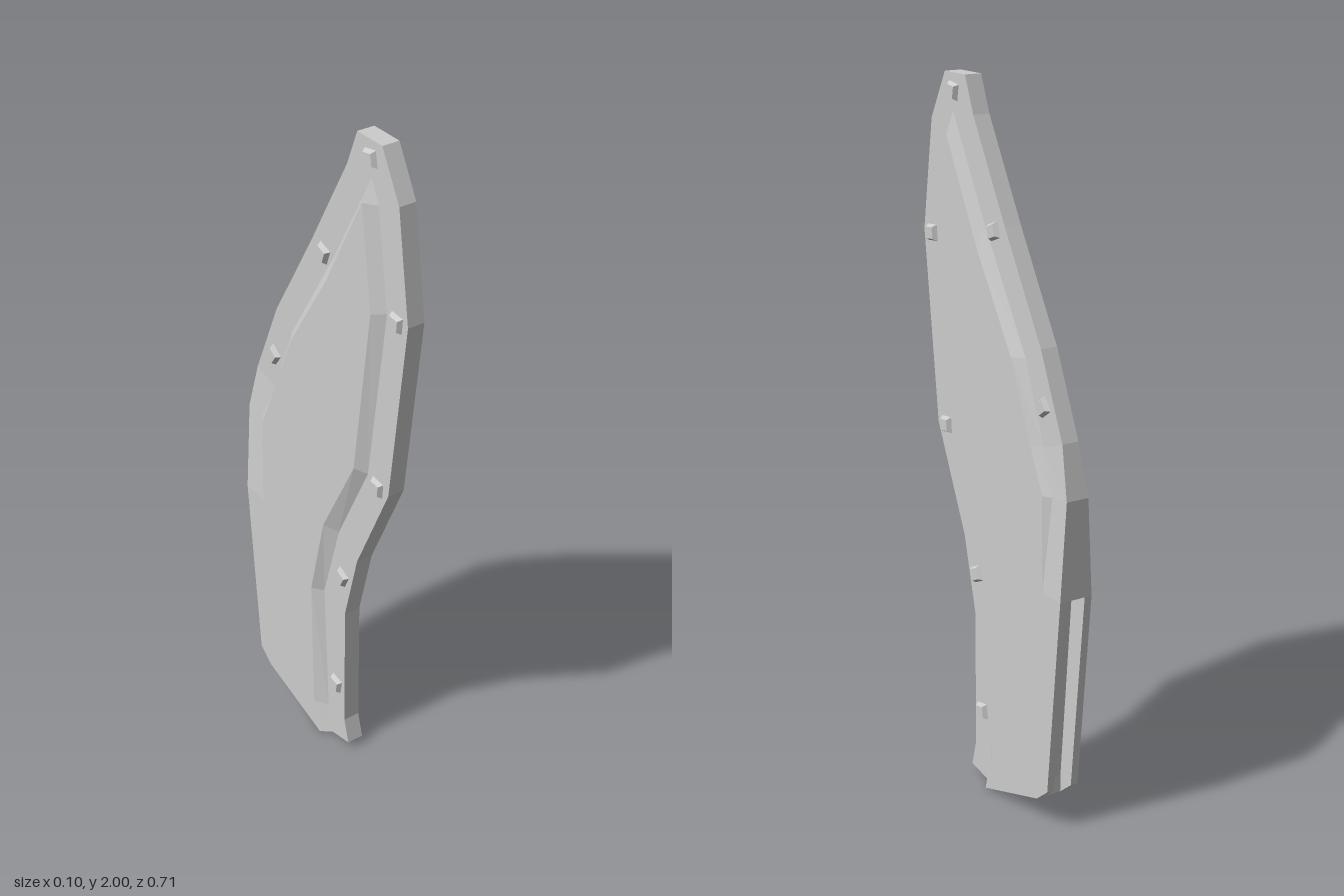
import * as THREE from 'three';

// Each station: outer edge, foot of bevel, top of bevel as [z, y]; last is half thickness of the rim there
const RIM = 0.025, FULL = 0.05;
const stations = [
  [[0.24, 2.0], [0.2, 1.9], [0.195, 1.84], RIM],
  [[0.31, 1.87], [0.23, 1.84], [0.2, 1.8], RIM],
  [[0.355, 1.56], [0.27, 1.56], [0.235, 1.55], RIM],
  [[0.29, 1.02], [0.2, 1.04], [0.17, 1.05], RIM],
  [[0.155, 0.72], [0.07, 0.77], [0.03, 0.78], RIM],
  [[0.1, 0.5], [0.0, 0.52], [-0.03, 0.52], RIM],
  [[0.1, 0.1], [0.02, 0.1], [-0.02, 0.1], RIM],
  [[0.12, 0.025], [0.04, 0.008], [0.01, 0], RIM],
  [[-0.25, 0.08], [-0.25, 0.08], [-0.25, 0.08], FULL],
  [[-0.3, 0.12], [-0.3, 0.12], [-0.3, 0.12], FULL],
  [[-0.353, 0.69], [-0.27, 0.69], [-0.27, 0.69], FULL],
  [[-0.355, 0.965], [-0.29, 0.96], [-0.265, 0.96], 0.034],
  [[-0.32, 1.11], [-0.235, 1.08], [-0.21, 1.085], RIM],
  [[-0.22, 1.34], [-0.15, 1.3], [-0.117, 1.3], RIM],
  [[-0.05, 1.63], [0.04, 1.61], [0.05, 1.565], RIM],
  [[0.1, 1.9], [0.2, 1.9], [0.195, 1.84], RIM],
  [[0.14, 2.0], [0.2, 1.9], [0.195, 1.84], RIM],
];
const SLOT = 0.028;
const SLOT_START = 8, SLOT_END = 10;
const slotFloor = [[-0.25, 0.08], [-0.25, 0.13], [-0.295, 0.69]];

const material = new THREE.MeshStandardMaterial({ color: 0xcccccc, flatShading: true });
const at = ([z, y], x) => [x, y, z];

function makeMesh(name, positions) {
  const geometry = new THREE.BufferGeometry();
  geometry.setAttribute('position', new THREE.Float32BufferAttribute(positions, 3));
  geometry.computeVertexNormals();
  const mesh = new THREE.Mesh(geometry, material);
  mesh.name = name;
  return mesh;
}

function createBody() {
  const body = new THREE.Group();
  body.name = 'body';
  const faces = { rim: [], bevel: [], sidePanel: [], edge: [], slot: [] };
  const quad = (part, a, b, c, d) => faces[part].push(...a, ...b, ...c, ...a, ...c, ...d);
  const flip = ([x, y, z]) => [-x, y, z];
  const bothSides = (part, a, b, c, d) => {
    quad(part, a, b, c, d);
    quad(part, ...[d, c, b, a].map(flip));
  };

  stations.forEach((s, i) => {
    const n = stations[(i + 1) % stations.length];
    const [o, b, t, h] = s, [o2, b2, t2, h2] = n;
    bothSides('rim', at(o, h), at(o2, h2), at(b2, h2), at(b, h));
    bothSides('bevel', at(b, h), at(b2, h2), at(t2, FULL), at(t, FULL));

    if (i >= SLOT_START && i < SLOT_END) {
      // Narrow lips, inner walls and floor of the open back slot
      const f = slotFloor[i - SLOT_START], f2 = slotFloor[i - SLOT_START + 1];
      bothSides('edge', at(o, h), at(o, SLOT), at(o2, SLOT), at(o2, h2));
      bothSides('slot', at(o, SLOT), at(f, SLOT), at(f2, SLOT), at(o2, SLOT));
      quad('slot', at(f, SLOT), at(f, -SLOT), at(f2, -SLOT), at(f2, SLOT));
    } else {
      quad('edge', at(o, h), at(o, -h), at(o2, -h2), at(o2, h2));
    }
  });

  // Upper end of the slot
  const end = stations[SLOT_END][0], floorEnd = slotFloor[slotFloor.length - 1];
  quad('slot', at(end, SLOT), at(floorEnd, SLOT), at(floorEnd, -SLOT), at(end, -SLOT));

  // Flat raised panels; the last two stations share the first one's tip
  const tops = stations.slice(0, -2).map((s) => s[2]);
  const contour = tops.map(([z, y]) => new THREE.Vector2(-z, y));
  for (const [a, b, c] of THREE.ShapeUtils.triangulateShape(contour, [])) {
    faces.sidePanel.push(...at(tops[a], FULL), ...at(tops[b], FULL), ...at(tops[c], FULL));
    faces.sidePanel.push(...at(tops[c], -FULL), ...at(tops[b], -FULL), ...at(tops[a], -FULL));
  }

  for (const [name, positions] of Object.entries(faces)) body.add(makeMesh(name, positions));
  return body;
}

// Square tapered studs along the rim: z, y, tilt in degrees
const studs = [
  [0.197, 1.952, -10], [0, 1.61, 20], [-0.235, 1.19, 35], [0.31, 1.555, 5],
  [0.243, 1.022, 5], [0.087, 0.625, 25], [0.061, 0.215, 10],
];

function createStuds() {
  const group = new THREE.Group();
  group.name = 'studs';
  for (const side of [1, -1]) {
    const geometry = new THREE.CylinderGeometry(0.016 * Math.SQRT2, 0.024 * Math.SQRT2, 0.016, 4);
    geometry.rotateY(Math.PI / 4).rotateZ(-side * Math.PI / 2);
    for (const [z, y, tilt] of studs) {
      const stud = new THREE.Mesh(geometry, material);
      stud.name = 'stud';
      stud.position.set(side * 0.03, y, z);
      stud.rotation.x = THREE.MathUtils.degToRad(tilt);
      group.add(stud);
    }
  }
  return group;
}

export function createModel() {
  const model = new THREE.Group();
  model.name = 'bladePanel';
  model.add(createBody(), createStuds());
  return model;
}
